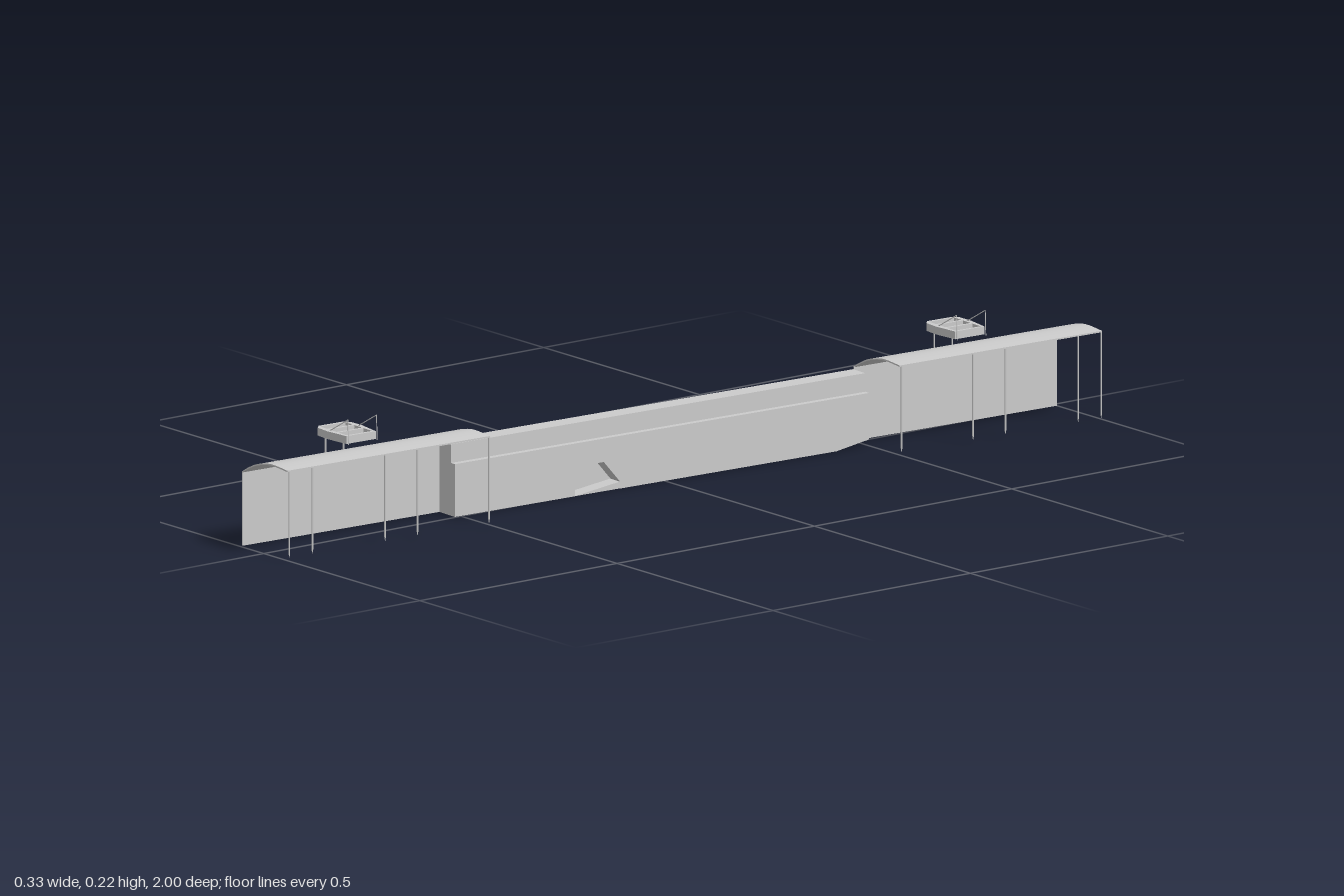
import * as THREE from 'three';
import { toCreasedNormals } from 'three/addons/utils/BufferGeometryUtils.js';

const mat = new THREE.MeshStandardMaterial({ color: 0xcccccc, side: THREE.DoubleSide });

function add(parent, geo, name, x = 0, y = 0, z = 0) {
  const m = new THREE.Mesh(geo, mat);
  m.name = name;
  m.position.set(x, y, z);
  parent.add(m);
  return m;
}

const shapeOf = pts => new THREE.Shape(pts.map(p => new THREE.Vector2(...p)));
const extrude = (shape, depth) => new THREE.ExtrudeGeometry(shape, { depth, bevelEnabled: false });

// Side profile given as [z, y], extruded along +x
function sideExtrude(pts, width) {
  return extrude(shapeOf(pts.map(([z, y]) => [-z, y])), width).rotateY(Math.PI / 2);
}

// Thin pole with a pointed foot
function post(parent, x, z, top, name) {
  const pts = [[0, 0.004], [0.0018, 0.014], [0.0018, top]].map(p => new THREE.Vector2(...p));
  add(parent, new THREE.LatheGeometry(pts, 8), name, x, 0, z);
}

// Thin straight rod between two points
function rod(parent, a, b, name) {
  const path = new THREE.LineCurve3(new THREE.Vector3(...a), new THREE.Vector3(...b));
  add(parent, new THREE.TubeGeometry(path, 1, 0.001, 6), name);
}

// Curved roof with posts along its outer edge
function canopy(z0, z1, postOffsets) {
  const g = new THREE.Group();
  g.name = 'canopy';
  const arc = new THREE.SplineCurve([[0, 0.15], [0.025, 0.164], [0.055, 0.176],
    [0.1, 0.1845], [0.155, 0.182]].map(p => new THREE.Vector2(...p))).getPoints(20);
  const under = arc.map(p => new THREE.Vector2(p.x, p.y - 0.003)).reverse();
  const roof = extrude(new THREE.Shape([...arc, ...under]), z1 - z0);
  add(g, toCreasedNormals(roof, 0.5), 'roof', 0, 0.002, z0);
  for (const o of postOffsets) post(g, 0.153, z1 - 0.003 - o * 0.99, 0.182, 'roofPost');
  return g;
}

// Raised tray behind the wall, with recessed panels, two posts and hooked arms
function platform(z) {
  const g = new THREE.Group();
  g.name = 'sidePlatform';
  g.position.z = z;
  const outline = shapeOf([[0.006, -0.036], [-0.05, -0.043], [-0.085, -0.041], [-0.097, -0.03],
    [-0.097, 0.03], [-0.085, 0.041], [-0.05, 0.043], [0.006, 0.036]]);
  for (const [a, b] of [[-0.09, -0.066], [-0.06, -0.034], [-0.028, 0]]) {
    const w = 0.031;
    outline.holes.push(new THREE.Path([[a, -w], [a, w], [b, w], [b, -w]].map(p => new THREE.Vector2(...p))));
  }
  add(g, extrude(outline, 0.016).rotateX(-Math.PI / 2), 'platformFrame', 0, 0.173, 0);
  add(g, new THREE.BoxGeometry(0.092, 0.003, 0.064), 'platformPanel', -0.045, 0.179, 0);
  for (const s of [-1, 1]) {
    post(g, -0.084, s * 0.022, 0.176, 'platformPost');
    const e = s * 0.035;
    rod(g, [-0.053, 0.188, e], [0.01, 0.223, e], 'armStrut');
    rod(g, [0.01, 0.223, e], [0.012, 0.172, e], 'armUpright');
  }
  return g;
}

export function createModel() {
  const model = new THREE.Group();
  model.name = 'stationWall';
  const body = new THREE.Group();
  body.name = 'structure';
  body.position.set(-0.034, 0, -0.0035);
  body.rotation.y = -0.045;
  model.add(body);

  // Thin back wall behind both canopies
  for (const [a, b] of [[-0.9975, -0.5], [0.5, 0.9975]])
    add(body, new THREE.BoxGeometry(0.002, 0.152, b - a), 'endWall', 0.001, 0.076, (a + b) / 2);

  // Central block: low front ledge with a doorway and a small ramp cut, tall strip behind
  const ledge = [[0.515, 0], [0.515, 0.108], [-0.5, 0.108], [-0.5, 0.013], [-0.42, 0],
    [0.11, 0], [0.11, 0.014], [0.15, 0.06], [0.22, 0.06], [0.22, 0]];
  add(body, sideExtrude(ledge, 0.033), 'lowerBlock', 0.021, 0, 0);
  add(body, new THREE.BoxGeometry(0.021, 0.108, 1.015), 'lowerBackBlock', 0.0105, 0.054, 0.0075);
  add(body, new THREE.BoxGeometry(0.041, 0.038, 1.015), 'upperBlock', 0.0205, 0.127, 0.0075);

  // Sloped doorway floor
  add(body, sideExtrude([[0.22, 0], [0.11, 0], [0.11, 0.014]], 0.032), 'doorwayRamp', 0.021, 0, 0);

  // Canopies and rear platforms at both ends
  const offsets = [0.003, 0.06, 0.24, 0.32, 0.497];
  body.add(canopy(0.502, 0.9975, offsets), canopy(-0.9975, -0.502, offsets.map(o => 0.5 - o)));
  body.add(platform(0.71), platform(-0.781));
  return model;
}
